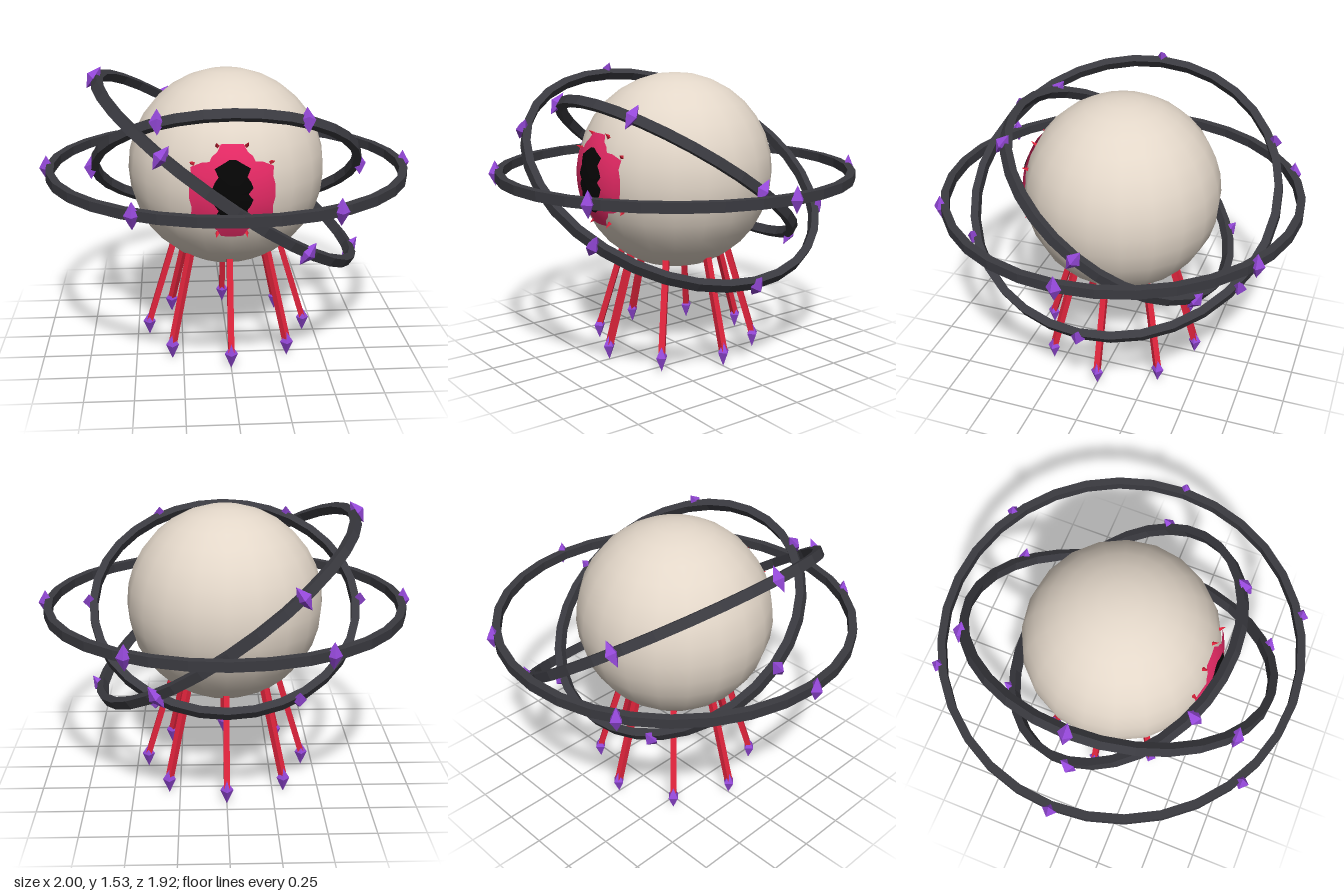
import * as THREE from 'three';

const material = (name, color, opts = {}) => {
  const m = new THREE.MeshStandardMaterial({ color, ...opts });
  m.name = name;
  return m;
};

const CENTER_Y = 0.99, TILT = THREE.MathUtils.degToRad(35);

export function createModel() {
  const mats = {
    ivory: material('ivory', 0xe3d7c9),
    pink: material('pink', 0xe82a66, { side: THREE.DoubleSide }),
    black: material('black', 0x050505, { side: THREE.DoubleSide }),
    red: material('red', 0xe0243c, { flatShading: true }),
    charcoal: material('charcoal', 0x3a3a40, { flatShading: true }),
    purple: material('purple', 0x9448d8, { flatShading: true }),
  };
  const model = new THREE.Group();
  model.name = 'ringedEye';

  const add = (parent, name, geometry, mat, x = 0, y = 0, z = 0) => {
    const mesh = new THREE.Mesh(geometry, mat);
    mesh.name = name;
    mesh.position.set(x, y, z);
    parent.add(mesh);
    return mesh;
  };

  // Four-sided spindle crystal with separate upper and lower lengths
  const crystal = (radius, up, down) => new THREE.LatheGeometry([
    new THREE.Vector2(0, -down), new THREE.Vector2(radius, 0), new THREE.Vector2(0, up),
  ], 4);

  // Eyeball
  const eye = new THREE.Group();
  eye.name = 'eye';
  eye.position.y = CENTER_Y;
  model.add(eye);
  add(eye, 'eyeball', new THREE.SphereGeometry(0.525, 20, 16), mats.ivory);

  // Cap: a quarter outline mirrored twice, laid on a dome and bulging to the middle
  const domeZ = (x, y) => 0.07 + Math.sqrt(0.469 ** 2 - x * x - y * y);
  const dome = (quarter, lift, bulge) => {
    const flip = (pts, sx, sy) => pts.map(([x, y]) => [x * sx, y * sy]);
    const back = [...quarter].reverse();
    const outline = [...quarter, ...flip(back, 1, -1), ...flip(quarter, -1, -1), ...flip(back, -1, 1)];
    const n = outline.length, steps = 6, pos = [], idx = [];
    for (let s = 0; s <= steps; s++) {
      const t = s / steps;
      for (const [x, y] of outline) {
        pos.push(x * t, y * t, domeZ(x * t, y * t) + lift + bulge * (1 - t * t));
      }
    }
    for (let s = 0; s < steps; s++) {
      for (let i = 0; i < n; i++) {
        const a = s * n + i, b = s * n + (i + 1) % n;
        idx.push(a, b, a + n, b, b + n, a + n);
      }
    }
    const g = new THREE.BufferGeometry();
    g.setAttribute('position', new THREE.Float32BufferAttribute(pos, 3));
    // Outline runs clockwise, so reverse the corners to face forward
    g.setIndex(idx.reverse());
    g.computeVertexNormals();
    if (g.attributes.normal.getZ(n * steps) < 0) {
      g.setIndex(idx.reverse());
      g.computeVertexNormals();
    }
    return g;
  };

  // Jagged iris and pupil
  add(eye, 'iris', dome([
    [0.02, 0.238], [0.055, 0.236], [0.075, 0.2], [0.1, 0.18], [0.112, 0.155], [0.15, 0.15],
    [0.205, 0.125], [0.2, 0.08], [0.213, 0.03],
  ], 0.002, 0), mats.pink);
  add(eye, 'pupil', dome([
    [0.015, 0.168], [0.045, 0.15], [0.088, 0.125], [0.07, 0.085], [0.088, 0.06], [0.1, 0.03], [0.078, 0.003],
  ], 0.006, 0.02), mats.black);

  // Small thorns around the iris
  for (const sx of [-1, 1]) {
    for (const [x, y] of [[0.075, 0.235], [0.2, 0.145], [0.2, -0.145], [0.075, -0.23]]) {
      const thorn = add(eye, 'irisThorn', new THREE.ConeGeometry(0.013, 0.04, 4), mats.red,
        sx * x, y, domeZ(x, y) + 0.005);
      thorn.quaternion.setFromUnitVectors(new THREE.Vector3(0, 1, 0),
        new THREE.Vector3(sx * x, y, 0.3).normalize());
    }
  }

  // Three orbiting rings, each with six crystals
  const ringCrystal = crystal(0.039, 0.068, 0.068);
  const addRing = (name, radius, rx, rz) => {
    const ring = new THREE.Group();
    ring.name = name;
    ring.position.y = CENTER_Y;
    ring.rotation.set(rx, 0, rz);
    const o = radius + 0.021, i = radius - 0.021, h = 0.025;
    const profile = [[o, -h], [o, h], [i, h], [i, -h], [o, -h]].map(p => new THREE.Vector2(...p));
    add(ring, 'band', new THREE.LatheGeometry(profile, 32), mats.charcoal);
    for (let k = 0; k < 6; k++) {
      const a = k * Math.PI / 3, r = radius + 0.02;
      add(ring, 'ringCrystal', ringCrystal, mats.purple, r * Math.cos(a), 0, r * Math.sin(a));
    }
    model.add(ring);
  };
  addRing('outerRing', 0.941, 0, 0);
  addRing('middleRing', 0.823, 0, -TILT);
  addRing('innerRing', 0.703, -TILT, 0);

  // Eight splayed square tendrils tipped with crystals
  const top = new THREE.Vector3(0.29, 0.56, 0), foot = new THREE.Vector3(0.435, 0.08, 0);
  const along = top.clone().sub(foot);
  const mid = top.clone().add(foot).multiplyScalar(0.5);
  const tendrilGeo = new THREE.BoxGeometry(0.032, along.length(), 0.032);
  const tipGeo = crystal(0.035, 0.055, 0.08);
  for (let k = 0; k < 8; k++) {
    const turn = k * Math.PI / 4;
    const tendril = new THREE.Group();
    tendril.name = 'tendril';
    tendril.rotation.y = turn;
    const stalk = add(tendril, 'stalk', tendrilGeo, mats.red, mid.x, mid.y, 0);
    stalk.rotation.z = Math.atan2(-along.x, along.y);
    const tip = add(tendril, 'tip', tipGeo, mats.purple, foot.x, foot.y, 0);
    tip.rotation.y = -turn;
    model.add(tendril);
  }
  return model;
}
